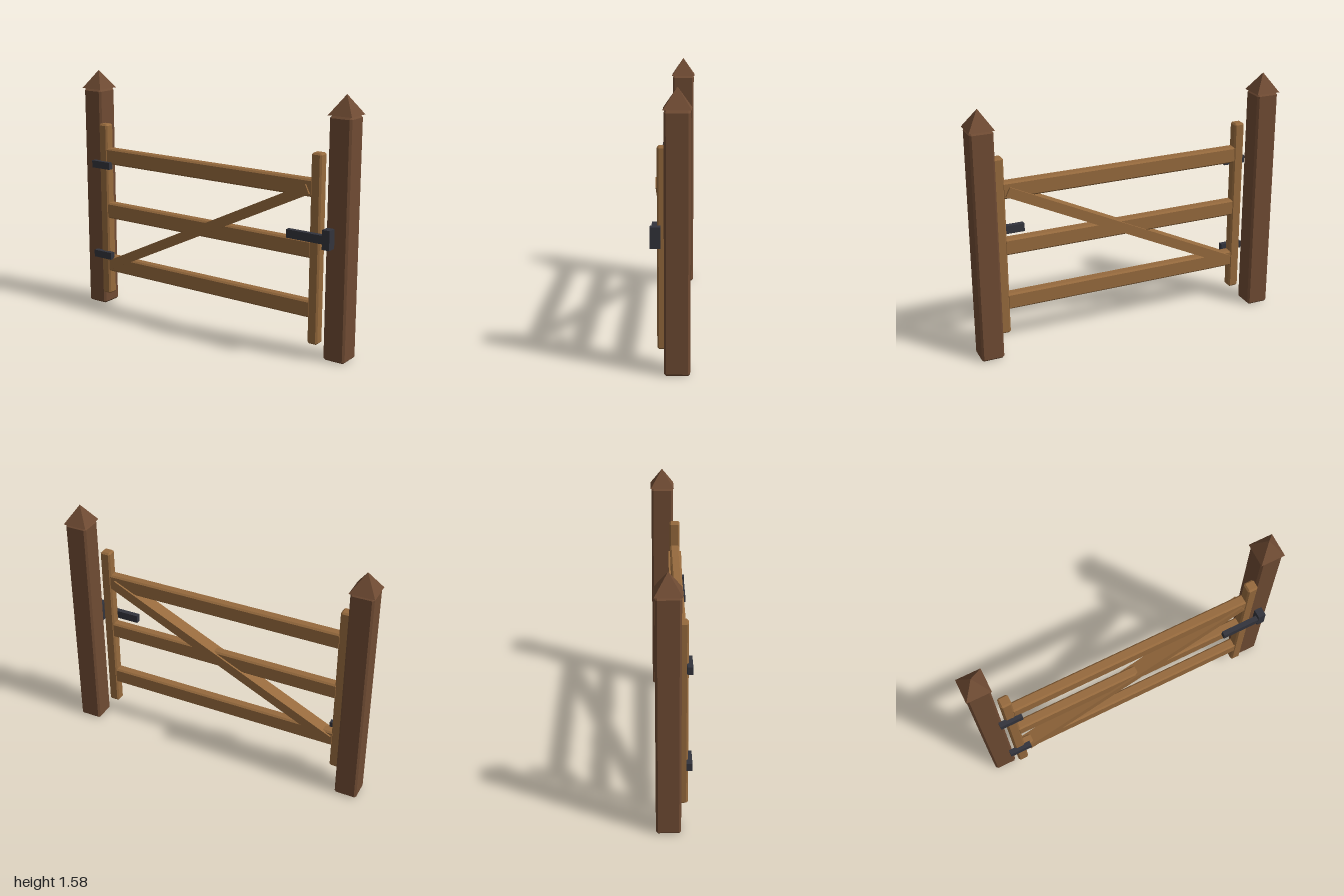
import * as THREE from 'three';
import { ConvexGeometry } from 'three/addons/geometries/ConvexGeometry.js';

const postWood = new THREE.MeshStandardMaterial({ name: 'darkPostWood', color: 0x6f4b33 });
const gateWood = new THREE.MeshStandardMaterial({ name: 'gateWood', color: 0x966a3d });
const iron = new THREE.MeshStandardMaterial({ name: 'blackIron', color: 0x33343c });

// Box with every edge cut back by c: the hull of its 24 corner points
function chamferedBox(w, h, d, c) {
  const points = [];
  for (const sx of [-1, 1]) for (const sy of [-1, 1]) for (const sz of [-1, 1]) {
    for (const axis of [0, 1, 2]) {
      const half = [w / 2 - c, h / 2 - c, d / 2 - c];
      half[axis] += c;
      points.push(new THREE.Vector3(sx * half[0], sy * half[1], sz * half[2]));
    }
  }
  return new ConvexGeometry(points);
}

// Adds a box spanning the given ranges, chamfered when c is above zero
function addBox(parent, name, material, [x0, x1], [y0, y1], [z0, z1], c = 0) {
  const size = [x1 - x0, y1 - y0, z1 - z0];
  const geometry = c > 0 ? chamferedBox(...size, c) : new THREE.BoxGeometry(...size);
  const mesh = new THREE.Mesh(geometry, material);
  mesh.name = name;
  mesh.position.set((x0 + x1) / 2, (y0 + y1) / 2, (z0 + z1) / 2);
  parent.add(mesh);
  return mesh;
}

export function createModel() {
  const model = new THREE.Group();
  model.name = 'woodenGate';

  // Posts with pyramid caps, and the gate's upright stiles
  for (const side of [-1, 1]) {
    const label = side > 0 ? 'left' : 'right';
    const post = new THREE.Group();
    post.name = label + 'Post';
    post.position.x = side * 0.923;
    addBox(post, 'postShaft', postWood, [-0.071, 0.071], [0, 1.457], [-0.109, 0.034], 0.012);
    const capGeometry = new THREE.ConeGeometry(0.077 * Math.SQRT2, 0.117, 4).toNonIndexed();
    capGeometry.rotateY(Math.PI / 4);
    capGeometry.computeVertexNormals();
    const cap = new THREE.Mesh(capGeometry, postWood);
    cap.name = 'postCap';
    cap.position.set(0, 1.5185, -0.0375);
    post.add(cap);
    model.add(post);

    const stile = addBox(model, label + 'Stile', gateWood, [-0.0335, 0.0335], [0.098, 1.245], [0.01, 0.077], 0.01);
    stile.position.x = side * 0.8005;
  }

  // Horizontal rails
  [['bottomRail', 0.309], ['middleRail', 0.673], ['topRail', 1.037]].forEach(([name, y]) => {
    addBox(model, name, gateWood, [-0.78, 0.78], [y - 0.052, y + 0.052], [0.012, 0.075], 0.01);
  });

  // Diagonal brace, slightly proud of the rails on both faces
  const brace = addBox(model, 'diagonalBrace', gateWood, [-0.834, 0.834], [0.638, 0.7], [0, 0.086]);
  brace.rotation.z = Math.atan2(0.727, 1.502);

  // Hinge straps
  addBox(model, 'upperHinge', iron, [-0.877, -0.732], [0.955, 1.002], [0.067, 0.1]);
  addBox(model, 'lowerHinge', iron, [-0.877, -0.732], [0.346, 0.393], [0.067, 0.1]);

  // Latch bar and its catch
  addBox(model, 'latchBar', iron, [0.631, 0.885], [0.732, 0.783], [0.08, 0.112]);
  addBox(model, 'latchCatch', iron, [0.873, 0.921], [0.7, 0.818], [0.055, 0.113]);

  return model;
}
